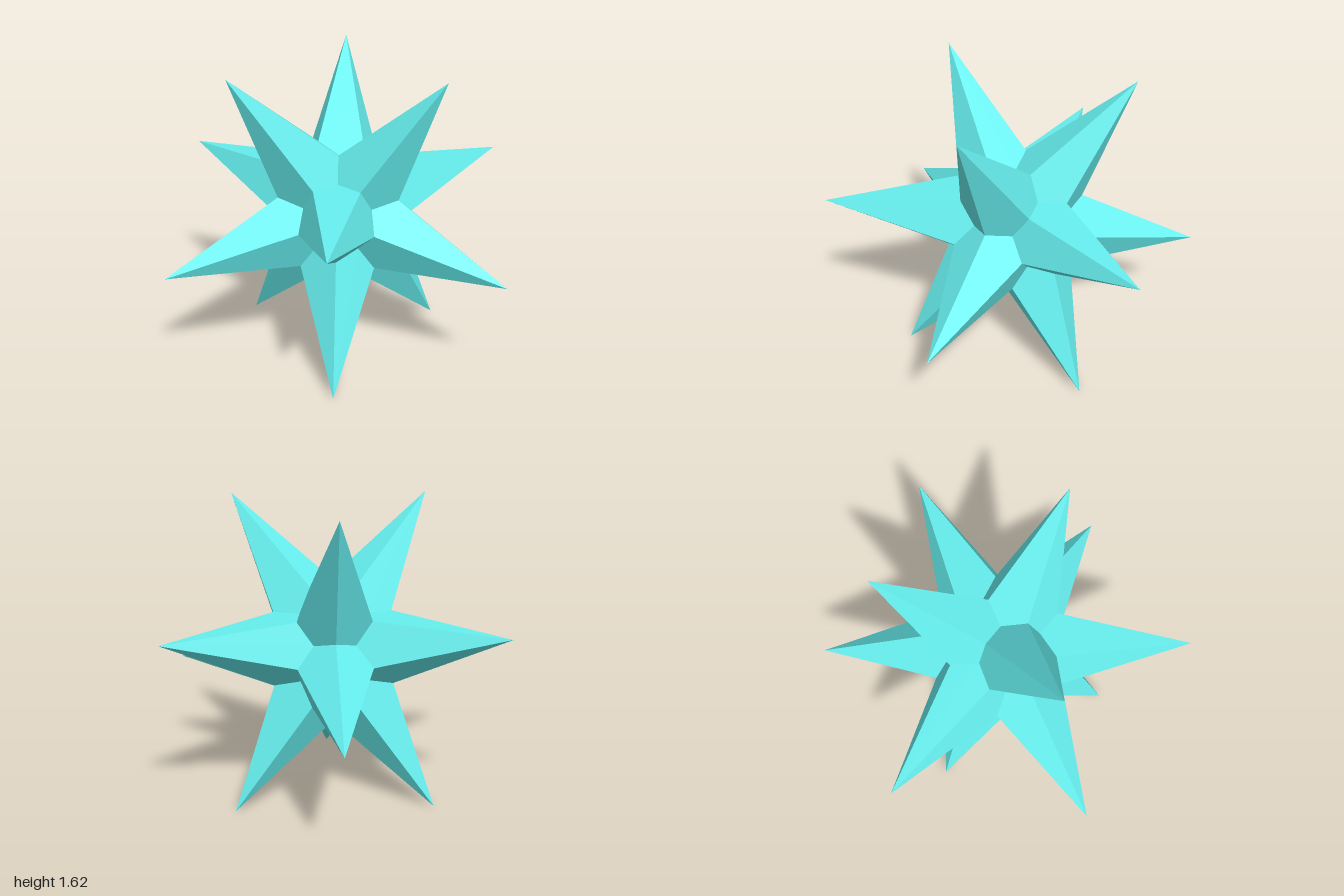
import * as THREE from 'three';

const PHI = (1 + Math.sqrt(5)) / 2;
const RIDGE_RADIUS = 0.39; // distance from the centre to the foot of each ridge

// Twelve icosahedron tips in four rings of three, with a threefold axis along y
function starTips() {
  const tips = [];
  const rings = [
    { y: PHI / 2, r: 1 / PHI, start: Math.PI },
    { y: 1 - PHI / 2, r: 1, start: 0 },
    { y: PHI / 2 - 1, r: 1, start: Math.PI },
    { y: -PHI / 2, r: 1 / PHI, start: 0 },
  ];
  for (const { y, r, start } of rings) {
    for (let i = 0; i < 3; i++) {
      const a = start + (i * Math.PI * 2) / 3;
      tips.push(new THREE.Vector3(r * Math.sin(a), y, r * Math.cos(a)));
    }
  }
  return tips;
}

// The five nearest tips, anticlockwise as seen from outside
function neighboursOf(tip, tips) {
  const near = tips
    .filter((t) => t !== tip)
    .sort((a, b) => a.distanceTo(tip) - b.distanceTo(tip))
    .slice(0, 5);
  const axis = tip.clone().normalize();
  const u = near[0].clone().projectOnPlane(axis).normalize();
  const v = axis.clone().cross(u);
  const angle = (p) => Math.atan2(p.dot(v), p.dot(u));
  return near.sort((a, b) => angle(a) - angle(b));
}

// One spike: five flat kites, each from the tip over two ridge feet to a valley point
function spikeGeometry(tip, tips) {
  const near = neighboursOf(tip, tips);
  const points = [];
  for (let i = 0; i < 5; i++) {
    const a = near[i];
    const b = near[(i + 1) % 5];
    const footA = tip.clone().add(a).setLength(RIDGE_RADIUS);
    const footB = tip.clone().add(b).setLength(RIDGE_RADIUS);
    // Valley point lies between three tips, in the plane of the kite
    const plane = new THREE.Plane().setFromCoplanarPoints(tip, footA, footB);
    const valley = tip.clone().add(a).add(b).normalize();
    valley.multiplyScalar(-plane.constant / plane.normal.dot(valley));
    points.push(tip, footA, valley, tip, valley, footB);
  }
  const geometry = new THREE.BufferGeometry().setFromPoints(points);
  geometry.computeVertexNormals();
  return geometry;
}

export function createModel() {
  const group = new THREE.Group();
  group.name = 'spikedStar';
  const material = new THREE.MeshStandardMaterial({ color: 0x66eeee, flatShading: true });

  const tips = starTips();
  tips.forEach((tip, i) => {
    const spike = new THREE.Mesh(spikeGeometry(tip, tips), material);
    spike.name = `spike${i + 1}`;
    spike.position.y = PHI / 2; // lowest tips touch the ground
    group.add(spike);
  });
  return group;
}
